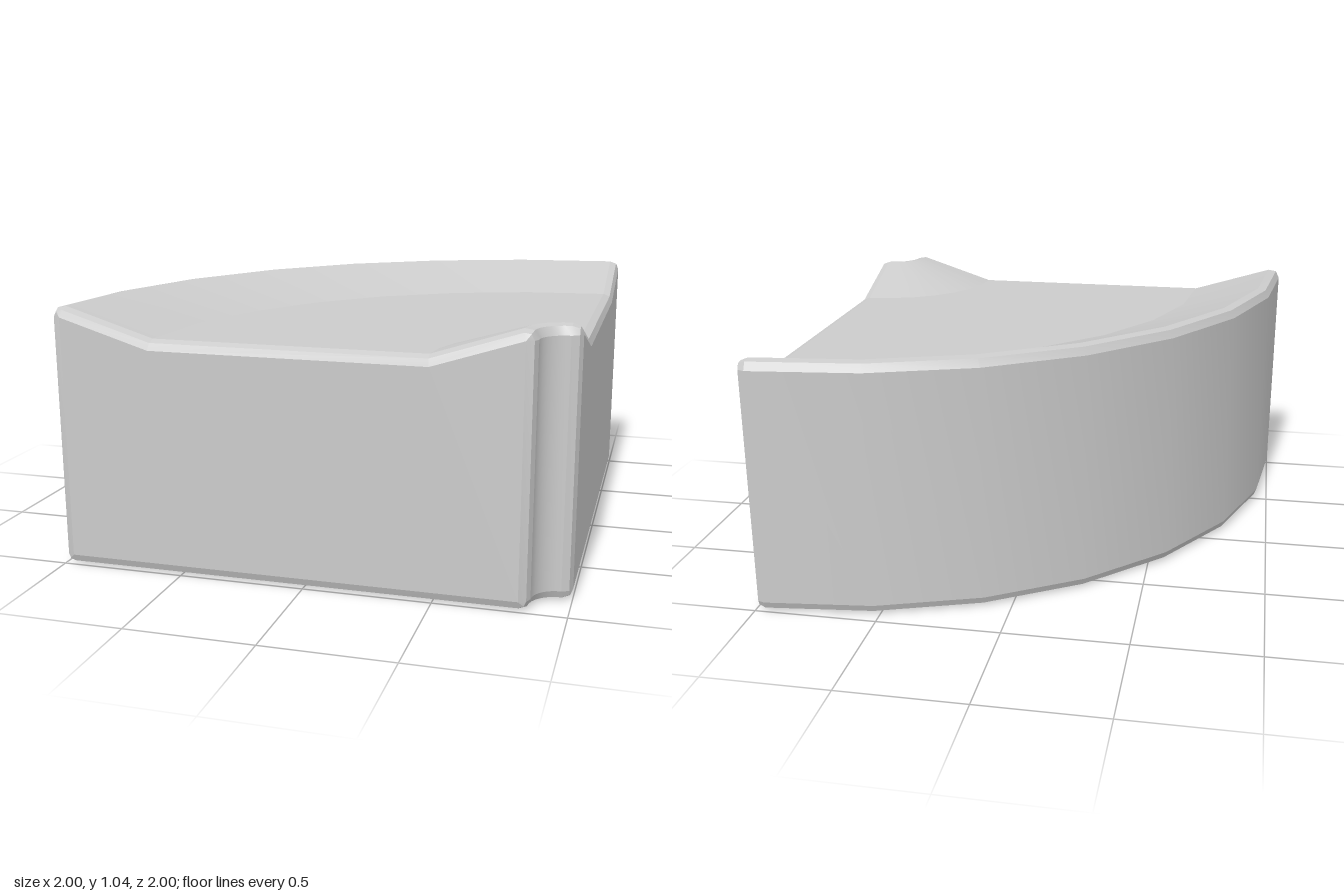
import * as THREE from 'three';
import { toCreasedNormals } from 'three/addons/utils/BufferGeometryUtils.js';

const PIVOT = 0.96;    // x and z of the sweep axis
const BEVEL = 0.04;
const SEGMENTS = 7;    // facets over the quarter turn
const RAD = Math.PI / 180;

// Core profile corners: radius, height, and the range of directions (degrees) the rounded edge covers
const CORNERS = [
  [0.14, 0.04, 180, 270],
  [1.92, 0.04, 270, 360],
  [1.92, 1.0, 0, 107],
  [1.56, 0.89, 98, 98],
  [0.48, 0.89, 82, 82],
  [0.14, 1.0, 73, 180],
];

// Profile loop grown outwards from the core by the given amount
function profile(grow) {
  const loop = [];
  for (const [r, y, from, to] of CORNERS) {
    const steps = from === to ? 0 : 2;
    for (let i = 0; i <= steps; i++) {
      const a = (from + (to - from) * (steps ? i / steps : 0)) * RAD;
      loop.push([r + grow * Math.cos(a), y + grow * Math.sin(a)]);
    }
  }
  return loop;
}

// Place a profile at a sweep angle, shifted along the sweep direction
function place(loop, angle, shift) {
  const c = Math.cos(angle), s = Math.sin(angle);
  return loop.map(([r, y]) => [PIVOT - r * c + shift * s, y, PIVOT - r * s - shift * c]);
}

function sectorGeometry() {
  const sections = [];
  // Rounded start edge, quarter sweep, rounded end edge
  for (const phi of [90, 45]) {
    sections.push(place(profile(BEVEL * Math.cos(phi * RAD)), 0, -BEVEL * Math.sin(phi * RAD)));
  }
  for (let i = 0; i <= SEGMENTS; i++) {
    sections.push(place(profile(BEVEL), (i / SEGMENTS) * Math.PI / 2, 0));
  }
  for (const phi of [45, 90]) {
    sections.push(place(profile(BEVEL * Math.cos(phi * RAD)), Math.PI / 2, BEVEL * Math.sin(phi * RAD)));
  }

  const pos = [];
  const tri = (a, b, c) => pos.push(...a, ...b, ...c);
  for (let i = 0; i < sections.length - 1; i++) {
    const A = sections[i], B = sections[i + 1];
    for (let j = 0; j < A.length; j++) {
      const k = (j + 1) % A.length;
      tri(A[j], A[k], B[k]);
      tri(A[j], B[k], B[j]);
    }
  }

  // Flat side walls
  const core = CORNERS.map(([r, y]) => [r, y]);
  const faces = THREE.ShapeUtils.triangulateShape(core.map(([r, y]) => new THREE.Vector2(r, y)), []);
  const start = place(core, 0, -BEVEL), end = place(core, Math.PI / 2, BEVEL);
  for (const [a, b, c] of faces) {
    tri(start[a], start[c], start[b]);
    tri(end[a], end[b], end[c]);
  }

  const geo = new THREE.BufferGeometry();
  geo.setAttribute('position', new THREE.Float32BufferAttribute(pos, 3));
  return toCreasedNormals(geo, 15 * RAD);
}

export function createModel() {
  const group = new THREE.Group();
  group.name = 'quarterRoundBlock';
  const block = new THREE.Mesh(sectorGeometry(), new THREE.MeshStandardMaterial({ color: 0xcccccc }));
  block.name = 'dishedSector';
  group.add(block);
  return group;
}
